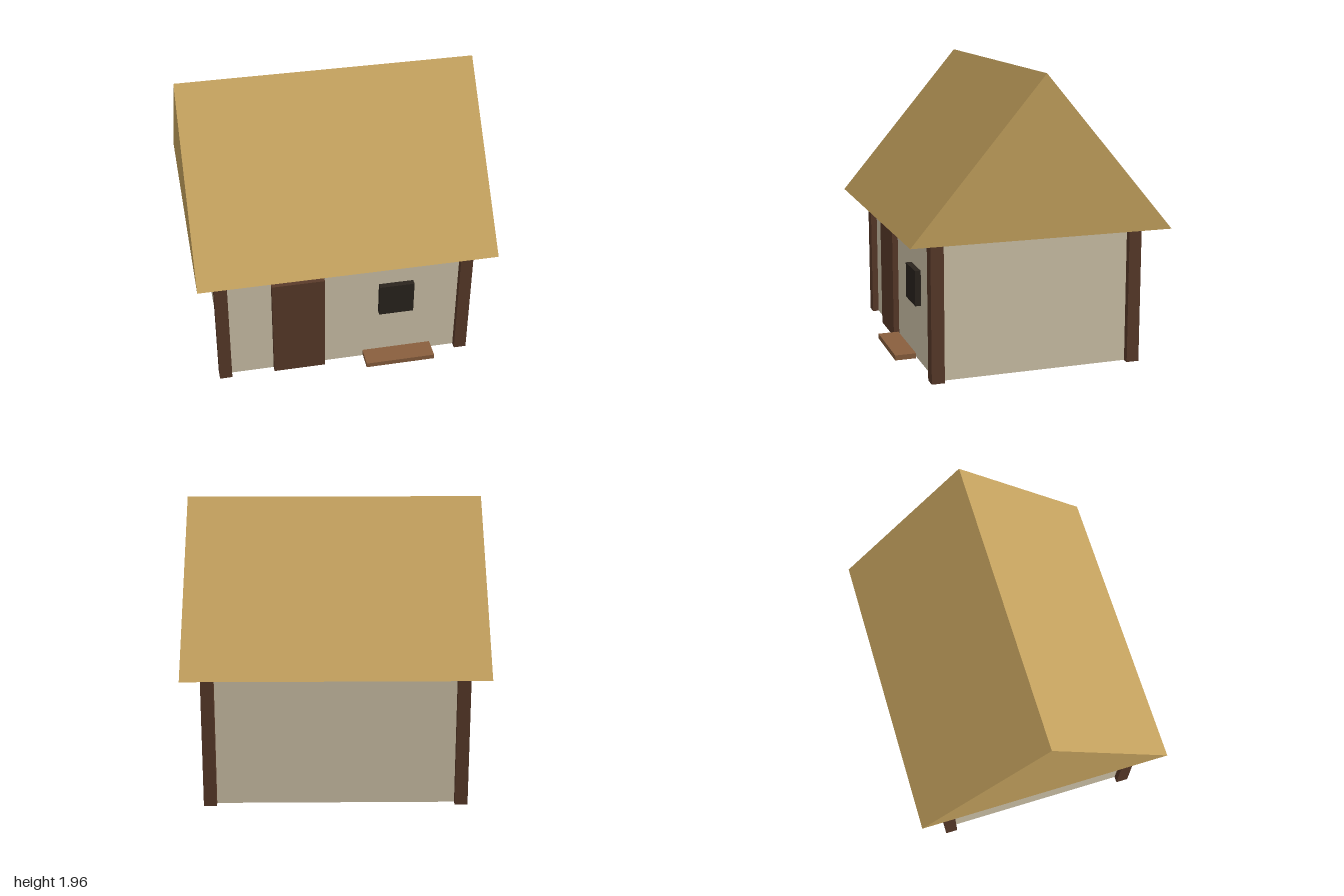
import * as THREE from 'three';

const mat = (color) => new THREE.MeshStandardMaterial({ color, flatShading: true });

export function createModel() {
  const model = new THREE.Group();
  model.name = 'cottage';

  const wood = mat(0x5a3b2a), plaster = mat(0xd2c6ac), thatch = mat(0xc8a560);
  const pane = mat(0x2a241e), plank = mat(0x8a5f3e);

  const wallX = 0.84, wallZ = 0.676, wallH = 0.925; // half width, half depth, height
  const houseZ = -0.004;

  // Box given by its size and the centre of its underside
  const box = (name, material, w, h, d, x, y, z) => {
    const mesh = new THREE.Mesh(new THREE.BoxGeometry(w, h, d), material);
    mesh.name = name;
    mesh.position.set(x, y + h / 2, z);
    model.add(mesh);
  };

  // Walls
  box('walls', plaster, wallX * 2, wallH - 0.002, wallZ * 2, 0, 0.002, houseZ);

  // Corner posts
  for (const sx of [-1, 1]) {
    for (const sz of [-1, 1]) {
      box('cornerPost', wood, 0.086, wallH, 0.086, sx * wallX, 0, houseZ + sz * wallZ);
    }
  }

  // Gabled roof: a triangular prism running along x
  const gable = new THREE.Shape();
  gable.moveTo(-0.877, 0);
  gable.lineTo(0.877, 0);
  gable.lineTo(0, 1.038);
  gable.closePath();
  const roofGeo = new THREE.ExtrudeGeometry(gable, { depth: 2, bevelEnabled: false });
  roofGeo.translate(0, 0, -1).rotateY(Math.PI / 2);
  const roof = new THREE.Mesh(roofGeo, thatch);
  roof.name = 'roof';
  roof.position.set(0, wallH, houseZ);
  model.add(roof);

  // Front details
  const front = houseZ + wallZ;
  box('door', wood, 0.36, 0.762, 0.08, -0.32, 0, front);
  box('window', pane, 0.24, 0.24, 0.08, 0.36, 0.402, front);
  box('bench', plank, 0.48, 0.034, 0.14, 0.36, 0.086, 0.812);

  return model;
}
